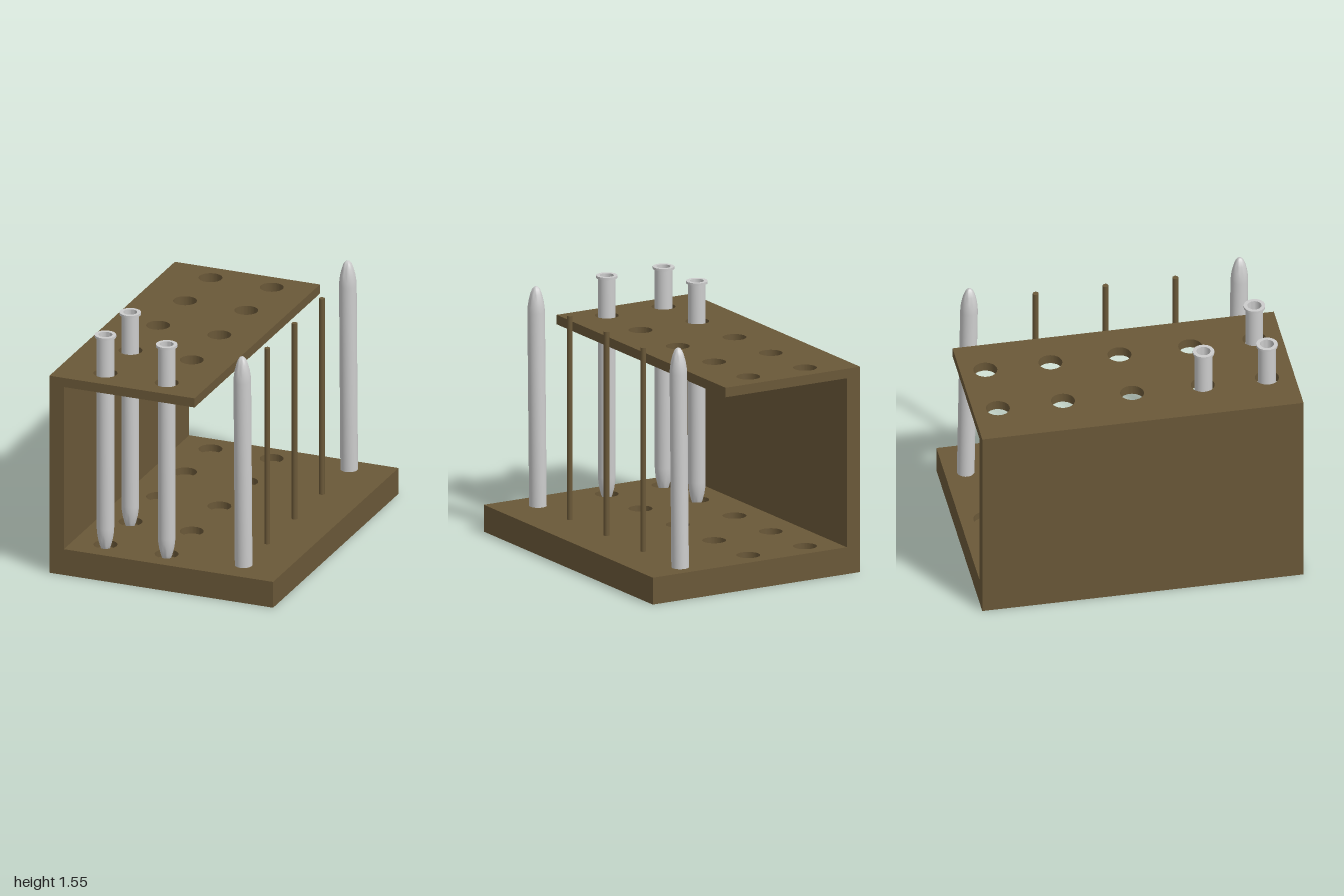
import * as THREE from 'three';
import { toCreasedNormals } from 'three/addons/utils/BufferGeometryUtils.js';

const WOOD = new THREE.MeshStandardMaterial({ color: 0x6a5838 });
const GLASS = new THREE.MeshStandardMaterial({ color: 0xcccccc, side: THREE.DoubleSide });

const HOLE_X = [-0.44, -0.035];
const HOLE_Z = [-0.845, -0.44, -0.01, 0.43, 0.83];
const PEG_X = 0.467;

function add(parent, name, geometry, material, x, y, z) {
  const mesh = new THREE.Mesh(geometry, material);
  mesh.name = name;
  mesh.position.set(x, y, z);
  parent.add(mesh);
  return mesh;
}

// Box given by its x and y ranges, running the full depth of the rack
function slab(parent, name, x0, x1, y0, y1) {
  add(parent, name, new THREE.BoxGeometry(x1 - x0, y1 - y0, 2), WOOD, (x0 + x1) / 2, (y0 + y1) / 2, 0);
}

// Horizontal board pierced by the two rows of tube holes
function piercedBoard(x0, x1, thickness) {
  const shape = new THREE.Shape();
  shape.moveTo(x0, -1).lineTo(x1, -1).lineTo(x1, 1).lineTo(x0, 1).closePath();
  for (const x of HOLE_X) for (const z of HOLE_Z) {
    shape.holes.push(new THREE.Path().absarc(x, z, 0.073, 0, Math.PI * 2, true));
  }
  const geometry = new THREE.ExtrudeGeometry(shape, { depth: thickness, bevelEnabled: false, curveSegments: 32 });
  return toCreasedNormals(geometry.rotateX(Math.PI / 2), 0.6);
}

// Hollow test tube: pointed-round tip at the origin, lipped mouth at the top
function tubeGeometry() {
  const L = 1.435;
  const tip = [[0, 0], [0.013, 0.005], [0.025, 0.02], [0.036, 0.05], [0.046, 0.09], [0.052, 0.13], [0.054, 0.165]];
  const lip = [[0.054, L - 0.015], [0.066, L - 0.015], [0.066, L], [0.043, L]];
  const inside = [[0.043, 0.165], [0.037, 0.1], [0.025, 0.05], [0.012, 0.028], [0, 0.022]];
  const points = [...tip, ...lip, ...inside].map(([r, y]) => new THREE.Vector2(r, y));
  return toCreasedNormals(new THREE.LatheGeometry(points, 32), 0.7);
}

export function createModel() {
  const rack = new THREE.Group();
  rack.name = 'testTubeRack';

  // Wooden frame: solid bottom, base top with blind holes, side wall, upper shelf
  slab(rack, 'baseBottom', -0.74, 0.74, 0, 0.125);
  add(rack, 'baseTop', piercedBoard(-0.74, 0.74, 0.045), WOOD, 0, 0.17, 0);
  slab(rack, 'sideWall', -0.74, -0.645, 0.17, 1.24);
  add(rack, 'shelf', piercedBoard(-0.74, 0.22, 0.06), WOOD, 0, 1.3, 0);

  // Drying pegs
  const peg = new THREE.CylinderGeometry(0.018, 0.018, 1.32, 16);
  for (const z of [-0.855, -0.435, 0, 0.435, 0.828]) add(rack, 'dryingPeg', peg, WOOD, PEG_X, 0.8, z);

  // Tubes standing in the holes
  const tube = tubeGeometry();
  for (const [x, z] of [[-0.44, 0.83], [-0.035, 0.83], [-0.44, 0.435]]) {
    add(rack, 'standingTube', tube, GLASS, x, 0.12, z);
  }

  // Tubes turned over on the end pegs, leaning slightly
  for (const z of [0.836, -0.847]) {
    add(rack, 'dryingTube', tube, GLASS, PEG_X, 1.555, z).rotation.x = Math.PI + 0.017;
  }
  return rack;
}
